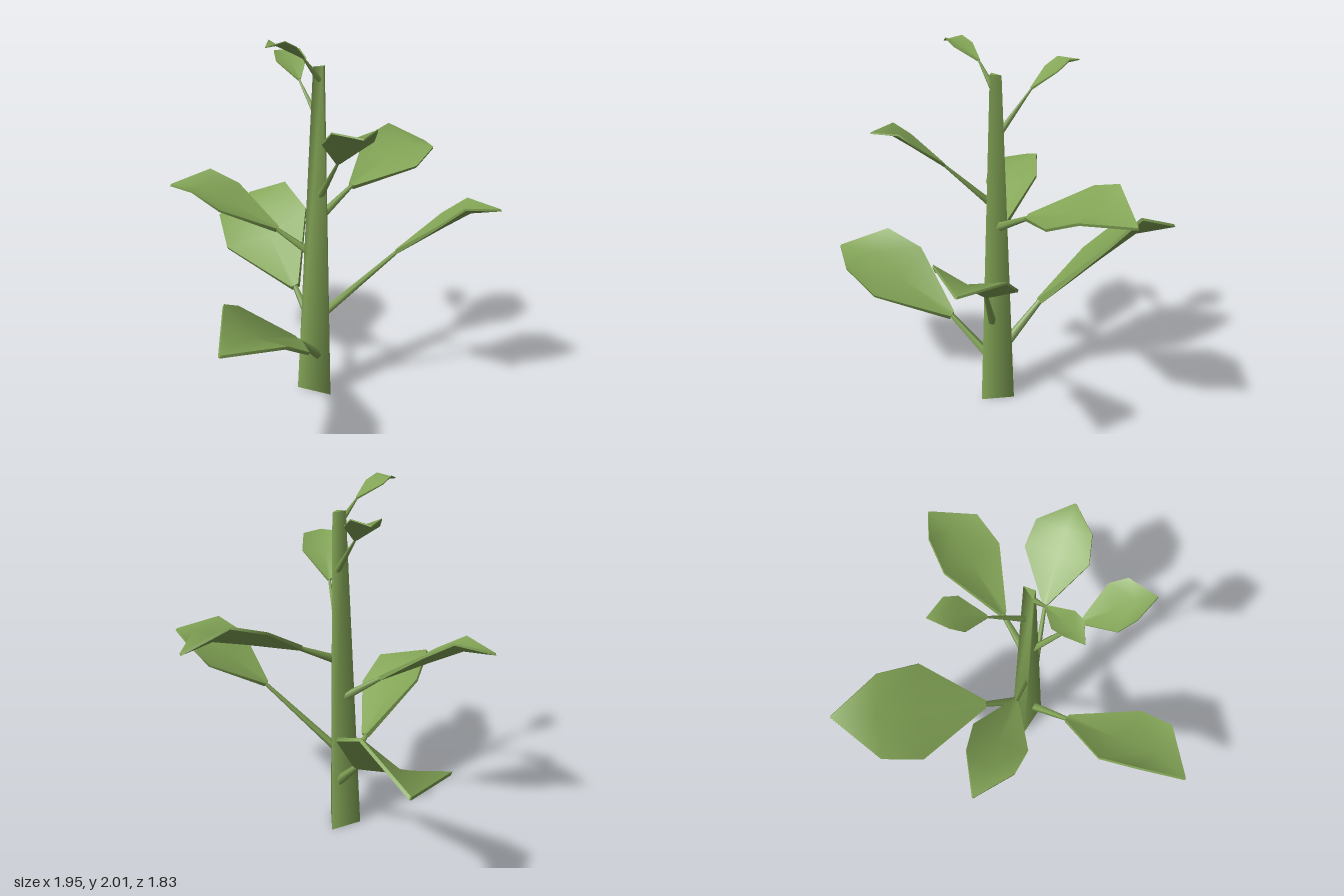
import * as THREE from 'three';

const V = (x, y, z) => new THREE.Vector3(x, y, z);

// Geometry from points and faces, smooth where points are shared
function build(points, faces) {
  const g = new THREE.BufferGeometry();
  g.setAttribute('position', new THREE.Float32BufferAttribute(points.flatMap(p => p.toArray()), 3));
  g.setIndex(faces);
  g.computeVertexNormals();
  return g;
}

// Wall between two rings that run anticlockwise seen from above
function wall(low, high) {
  const n = low.length, faces = [];
  for (let i = 0; i < n; i++) {
    const j = (i + 1) % n;
    faces.push(i, j, n + j, i, n + j, n + i);
  }
  return build([...low, ...high], faces);
}

// Blade rows: distance along, half width, side lift, midrib lift (all per unit length)
const ROWS = [
  [0, 0.026, 0.004, 0],
  [0.475, 0.27, 0.12, 0.055],
  [0.75, 0.232, 0.167, 0.085],
  [1, 0.006, 0, 0],
];

function blade(base, tip, width, roll) {
  const along = tip.clone().sub(base), len = along.length();
  along.normalize();
  const flat = along.clone().cross(V(0, 1, 0)).normalize();
  const side = flat.clone().applyAxisAngle(along, 0);
  const up = flat.clone().cross(along);
  side.multiplyScalar(Math.cos(roll)).addScaledVector(up, Math.sin(roll));
  const normal = side.clone().cross(along);

  // A grid of left, midrib and right points, shifted by half the thickness
  const sheet = sign => ROWS.flatMap(([u, half, lift, mid], r) => [-1, 0, 1].map(c =>
    base.clone()
      .addScaledVector(along, u * len)
      .addScaledVector(side, c * half * len * (r === 0 ? 1 : width))
      .addScaledVector(normal, ((c ? lift : mid) + sign * (r === 0 ? 0.018 : 0.01)) * len)));
  const top = sheet(1), bottom = sheet(-1), faces = [];
  for (let r = 0; r < 3; r++) {
    for (let c = 0; c < 2; c++) {
      const a = r * 3 + c, b = a + 1, d = a + 3, e = a + 4;
      // Split each half so that the diagonals mirror across the midrib
      if (c) faces.push(a, b, d, b, e, d);
      else faces.push(a, b, e, a, e, d);
    }
  }
  const rim = [0, 1, 2, 5, 8, 11, 10, 9, 6, 3];
  return {
    len,
    upper: build(top, faces),
    lower: build(bottom, [...faces].reverse()),
    edge: wall(rim.map(i => bottom[i]), rim.map(i => top[i])),
  };
}

// Leaves: stalk start, blade base, blade tip, width factor, roll
const LEAVES = [
  [[0.08, 1.06, 0.08], [0.30, 1.18, 0.115], [0.97, 1.33, 0.19], 1.03, -0.31],
  [[0.04, 0.23, 0.09], [-0.22, 0.44, 0.14], [-0.975, 0.72, 0.305], 1, 0.34],
  [[0.09, 0.31, 0.045], [0.17, 0.535, -0.18], [0.60, 0.885, -0.915], 1.1, 0.47],
  [[0.06, 0.49, 0.11], [0.29, 0.865, 0.43], [0.54, 1.135, 0.905], 1.22, 0.13],
  [[0.045, 0.83, 0.05], [-0.055, 0.97, -0.13], [-0.33, 1.19, -0.67], 0.9, 0.23],
  [[0.04, 1.19, 0.10], [-0.09, 1.42, 0.30], [-0.30, 1.615, 0.59], 1.2, 0],
  [[0.075, 1.57, 0.06], [0.13, 1.77, -0.12], [0.26, 1.90, -0.35], 1.1, 0.05],
  [[0.04, 1.80, 0.08], [-0.065, 1.915, 0.06], [-0.325, 1.985, 0.035], 0.9, 0],
];

export function createModel() {
  const model = new THREE.Group();
  const green = new THREE.MeshStandardMaterial({ color: 0x83a556 });
  green.name = 'leafGreen';
  const add = (parent, name, geometry) => {
    const mesh = new THREE.Mesh(geometry, green);
    mesh.name = name;
    parent.add(mesh);
    return mesh;
  };

  // Three-sided tapering stem
  const foot = [V(0.04, 0, 0.18), V(0.165, 0, 0.04), V(-0.01, 0, -0.02)];
  const crown = [V(0.04, 1.865, 0.1), V(0.095, 1.865, 0.075), V(0.015, 1.865, 0.06)];
  const stem = new THREE.Group();
  stem.name = 'stem';
  model.add(stem);
  add(stem, 'stemSides', wall(foot, crown));
  add(stem, 'stemTop', build(crown, [0, 1, 2]));
  add(stem, 'stemBottom', build(foot, [2, 1, 0]));

  // Stalked leaves around the stem
  LEAVES.forEach(([start, base, tip, width, roll], i) => {
    const leaf = new THREE.Group();
    leaf.name = `leaf${i + 1}`;
    model.add(leaf);
    const s = V(...start), b = V(...base);
    const { len, upper, lower, edge } = blade(b, V(...tip), width, roll);
    add(leaf, 'bladeTop', upper);
    add(leaf, 'bladeUnderside', lower);
    add(leaf, 'bladeEdge', edge);

    const dir = b.clone().sub(s);
    const stalk = add(leaf, 'stalk',
      new THREE.CylinderGeometry(0.018 * len, 0.012 + 0.02 * len, dir.length() + 0.01, 5));
    stalk.position.copy(s).add(b).multiplyScalar(0.5);
    stalk.quaternion.setFromUnitVectors(V(0, 1, 0), dir.normalize());
  });
  return model;
}
